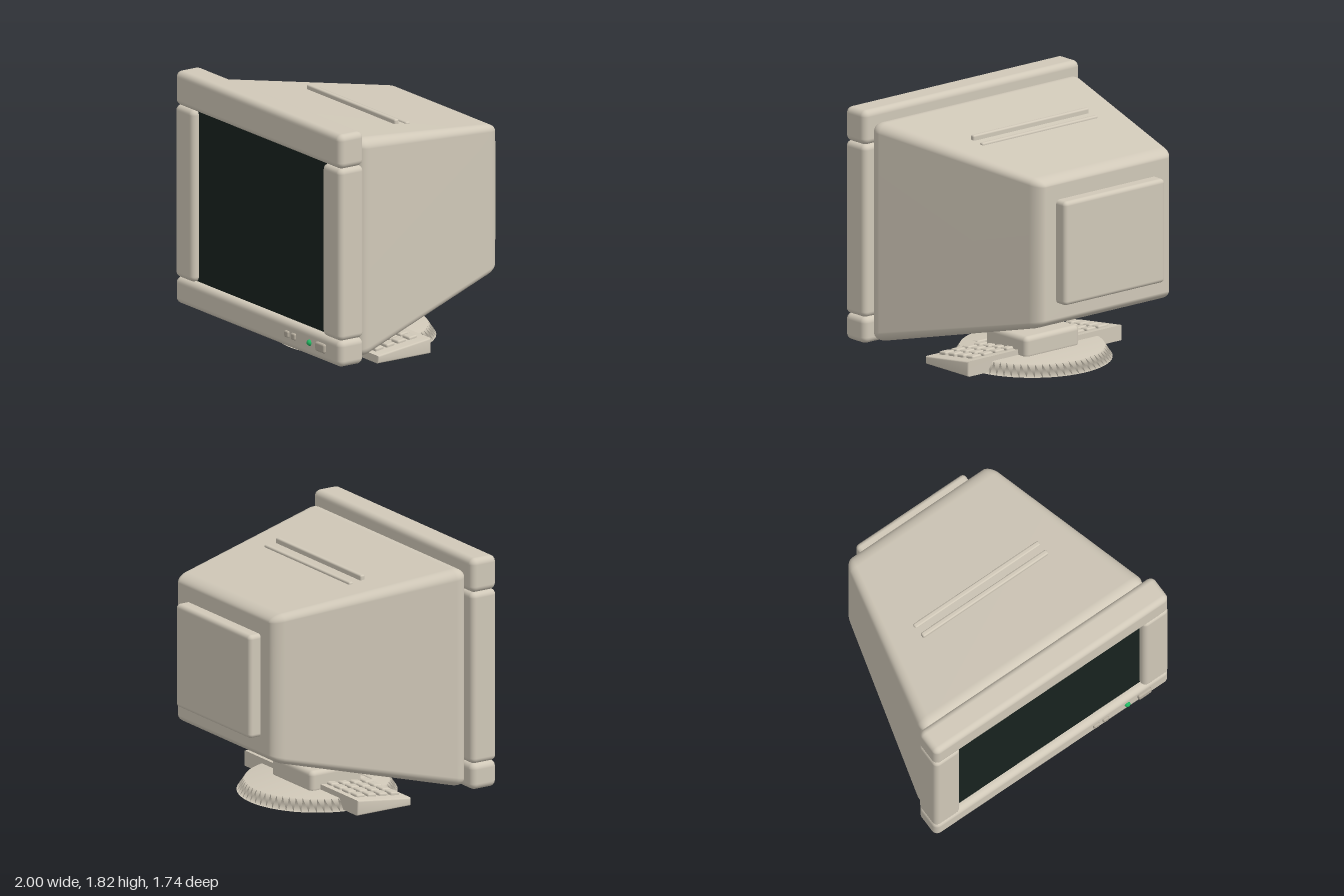
import * as THREE from 'three';
import { mergeVertices, toCreasedNormals } from 'three/addons/utils/BufferGeometryUtils.js';
import { RoundedBoxGeometry } from 'three/addons/geometries/RoundedBoxGeometry.js';

const paint = (color) => new THREE.MeshStandardMaterial({ color });

export function createModel() {
  const model = new THREE.Group();
  const shell = paint(0xd0c8b8);
  const buttonPaint = paint(0xb5ad9e);

  const add = (name, geometry, material, x = 0, y = 0, z = 0, parent = model) => {
    const mesh = new THREE.Mesh(geometry, material);
    mesh.name = name;
    mesh.position.set(x, y, z);
    parent.add(mesh);
    return mesh;
  };
  // Rounded block given by its limits on each axis
  const block = (name, [x0, x1], [y0, y1], [z0, z1], r, material = shell, parent = model) =>
    add(name, new RoundedBoxGeometry(x1 - x0, y1 - y0, z1 - z0, 4, r), material,
      (x0 + x1) / 2, (y0 + y1) / 2, (z0 + z1) / 2, parent);

  // Front frame: four rounded bars around the screen
  const frameZ = [0.633, 0.845];
  block('topFrame', [-1, 1], [1.567, 1.815], frameZ, 0.045);
  block('bottomFrame', [-1, 1], [0.132, 0.325], frameZ, 0.045);
  block('leftFrame', [0.78, 1], [0.322, 1.57], frameZ, 0.04);
  block('rightFrame', [-1, -0.78], [0.322, 1.57], frameZ, 0.04);
  add('screen', new THREE.BoxGeometry(1.62, 1.3, 0.16), paint(0x18221e), 0, 0.94, 0.71);

  // Rear housing: a rounded block tapered towards the back
  let housing = new RoundedBoxGeometry(2, 2, 1.41, 6, 0.09);
  housing.deleteAttribute('normal');
  housing.deleteAttribute('uv');
  housing.translate(0, 0, -0.07);
  const p = housing.attributes.position;
  for (let i = 0; i < p.count; i++) {
    const z = p.getZ(i);
    const top = 1.65 + 0.15 * z;
    const bottom = 0.29 - 0.242 * z;
    p.setX(i, p.getX(i) * (0.807 + 0.248 * z));
    p.setY(i, (top + bottom) / 2 + p.getY(i) * (top - bottom) / 2);
  }
  housing = mergeVertices(housing, 1e-4);
  housing.computeVertexNormals();
  add('housing', housing, shell);

  // Back panel and the two ribs on top
  block('backPanel', [-0.465, 0.465], [0.63, 1.38], [-0.87, -0.72], 0.03);
  block('frontRib', [-0.535, 0.535], [1.64, 1.69], [0.013, 0.05], 0.012);
  block('rearRib', [-0.535, 0.535], [1.61, 1.655], [-0.082, -0.045], 0.012);

  // Controls on the lower frame
  for (const x of [0.37, 0.45]) {
    block('smallButton', [x - 0.025, x + 0.025], [0.21, 0.258], [0.82, 0.862], 0.012, buttonPaint);
  }
  block('powerButton', [0.725, 0.835], [0.202, 0.268], [0.82, 0.866], 0.014, buttonPaint);
  add('powerLight', new THREE.SphereGeometry(0.022, 20, 14), paint(0x22b862), 0.637, 0.234, 0.845);

  // Foot: sloped disc and a short neck
  const discProfile = [[0, 0], [0.56, 0], [0.505, 0.083], [0, 0.083]]
    .map(([r, y]) => new THREE.Vector2(r, y));
  add('baseDisc', new THREE.LatheGeometry(discProfile, 64), shell, 0, 0, 0.005);
  block('neck', [-0.25, 0.25], [0.06, 0.222], [-0.213, 0.218], 0.035);

  // Keyboard: wedge section, extruded sideways
  const keyboard = new THREE.Group();
  keyboard.name = 'keyboard';
  model.add(keyboard);
  const b = 0.012;
  const wedge = new THREE.Shape([[-0.12, 0.022], [0.305, 0.022], [0.305, 0.055], [-0.12, 0.108]]
    .map(([z, y]) => new THREE.Vector2(z, y)));
  const wedgeGeometry = new THREE.ExtrudeGeometry(wedge, {
    depth: 1.43 - 2 * b, bevelEnabled: true, bevelSize: b, bevelThickness: b, bevelSegments: 3,
  });
  wedgeGeometry.translate(0, 0, -(1.43 - 2 * b) / 2).rotateY(-Math.PI / 2);
  add('keyboardBody', toCreasedNormals(wedgeGeometry, 0.6), shell, 0, 0, 0, keyboard);

  // Keys follow the slope of the keyboard; those under the neck are left out
  const addKey = (name, x, z, width) => {
    const key = add(name, new RoundedBoxGeometry(width, 0.04, 0.072, 2, 0.012), shell,
      x, 0.104 - 0.11 * z, z, keyboard);
    key.rotation.x = 0.12;
  };
  for (const z of [0.24, 0.145, 0.05, -0.045]) {
    for (let col = 0; col < 12; col++) {
      const x = (col - 5.5) * 0.106;
      if (Math.abs(x) > 0.22 || z > 0.2) addKey('key', x, z, 0.088);
    }
  }
  addKey('spaceBar', 0, 0.33, 0.5);

  return model;
}
